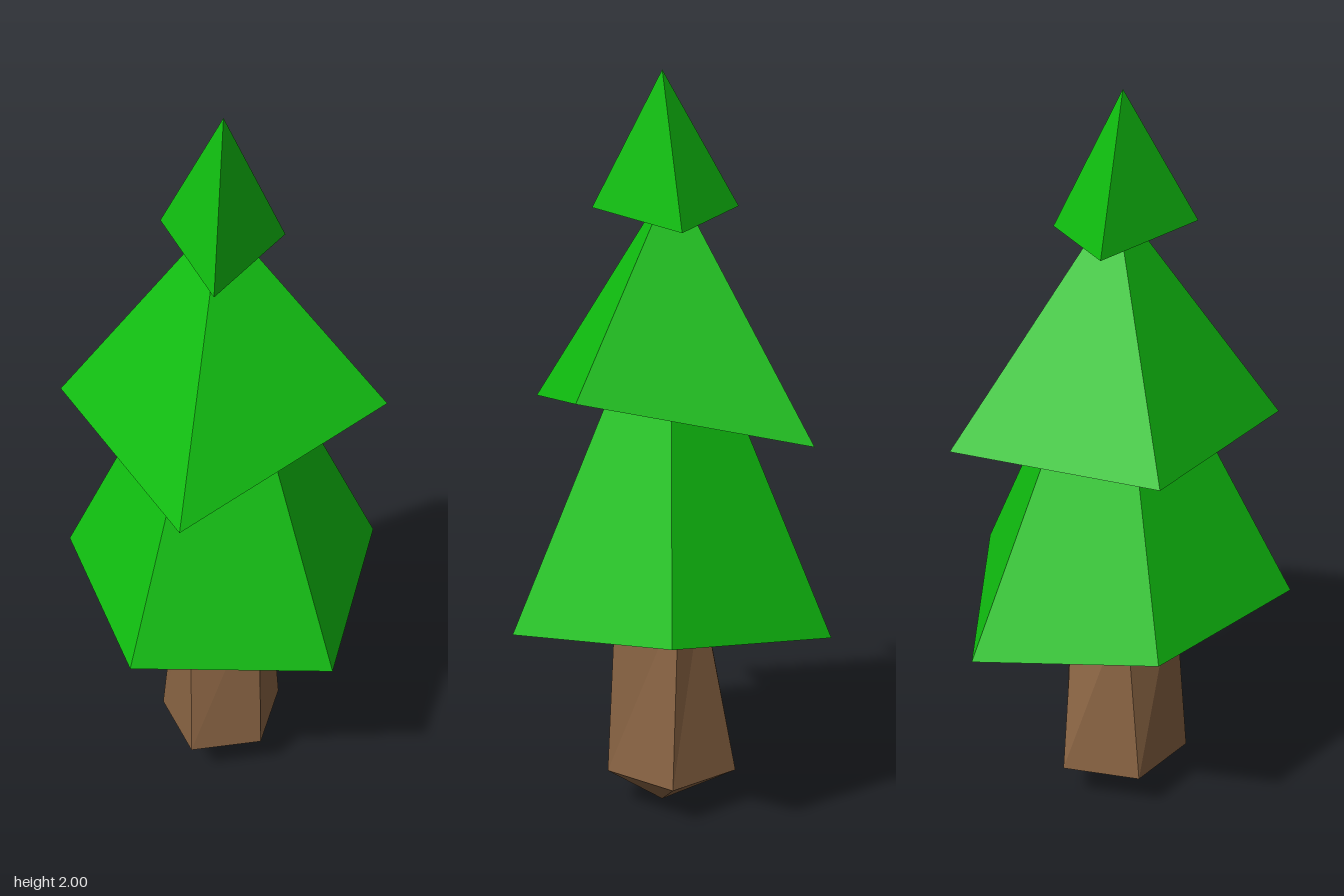
import * as THREE from 'three';

// Each ring runs counter-clockwise seen from above.
// Closes a list of point triples into a faceted mesh.
function facetMesh(name, triangles, material) {
  const geometry = new THREE.BufferGeometry();
  geometry.setAttribute('position', new THREE.Float32BufferAttribute(triangles.flat(2), 3));
  geometry.computeVertexNormals();
  const mesh = new THREE.Mesh(geometry, material);
  mesh.name = name;
  return mesh;
}

const next = (ring, i) => ring[(i + 1) % ring.length];

const centreOf = (ring) => [0, 1, 2].map((k) => ring.reduce((sum, p) => sum + p[k], 0) / ring.length);

// Fan from a ring to a point above or below it
const fan = (ring, tip, up) => ring.map((p, i) => (up ? [p, next(ring, i), tip] : [next(ring, i), p, tip]));

// Quads between two rings, lower to upper
const band = (low, high) =>
  low.flatMap((p, i) => [
    [p, next(low, i), next(high, i)],
    [p, next(high, i), high[i]],
  ]);

export function createModel() {
  const tree = new THREE.Group();
  tree.name = 'tree';
  const leaf = new THREE.MeshStandardMaterial({ color: 0x10c010, flatShading: true });
  const bark = new THREE.MeshStandardMaterial({ color: 0x8b6544, flatShading: true });

  // Trunk: five tapering sides with a pointed foot
  const foot = [[0, 0.11, 0.155], [0.155, 0.11, 0], [0.05, 0.11, -0.19], [-0.155, 0.11, -0.13], [-0.185, 0.11, 0.085]];
  const neck = [[0.005, 0.64, 0.13], [0.12, 0.64, -0.02], [0.07, 0.64, -0.09], [-0.1, 0.64, -0.11], [-0.16, 0.64, 0.05]];
  tree.add(facetMesh('trunk', [
    ...fan(foot, [-0.03, 0, 0], false),
    ...band(foot, neck),
    ...fan(neck, centreOf(neck), true),
  ], bark));

  // Foliage: uneven pyramids with five, four and three sides
  const tiers = [
    {
      name: 'lowerFoliage',
      tip: [-0.015, 1.56, -0.02],
      ring: [[-0.43, 0.62, 0.205], [0.06, 0.545, 0.412], [0.43, 0.625, 0.047], [0.187, 0.535, -0.417], [-0.325, 0.64, -0.335]],
    },
    {
      name: 'middleFoliage',
      tip: [-0.02, 1.73, -0.025],
      ring: [[-0.33, 1.09, 0.3], [0.298, 1.23, 0.265], [0.287, 1.09, -0.338], [-0.325, 1.14, -0.338]],
    },
    {
      name: 'topFoliage',
      tip: [-0.025, 2, 0],
      ring: [[-0.15, 1.635, 0.165], [0.165, 1.62, -0.02], [-0.085, 1.64, -0.21]],
    },
  ];
  for (const { name, tip, ring } of tiers) {
    tree.add(facetMesh(name, [...fan(ring, tip, true), ...fan(ring, centreOf(ring), false)], leaf));
  }
  return tree;
}
